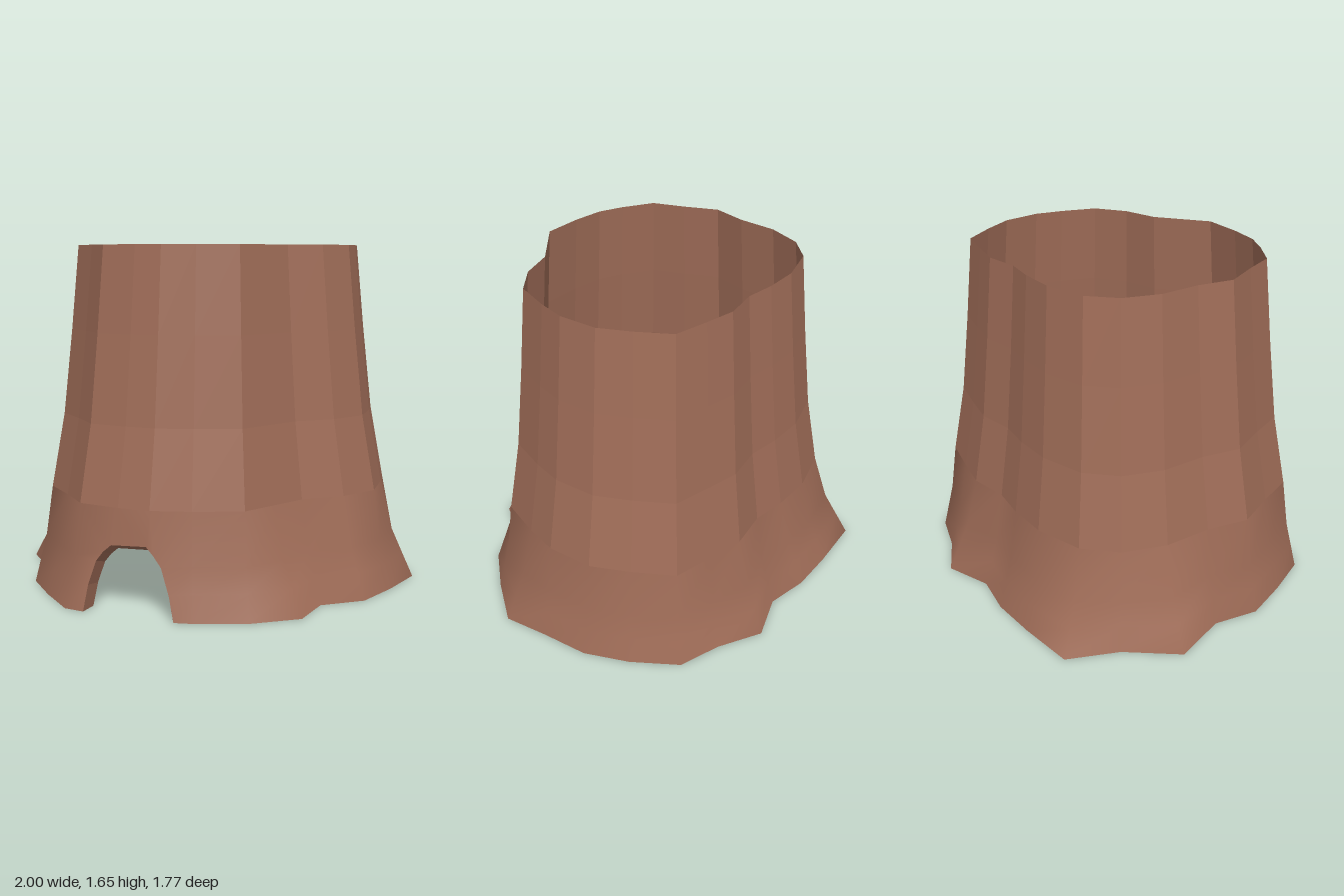
import * as THREE from 'three';
import { mergeVertices } from 'three/addons/utils/BufferGeometryUtils.js';

// Matching columns of the wavy cross-section, [x, z] from +x towards +z
const RIM = [
  [0.685, -0.01], [0.66, 0.17], [0.545, 0.3], [0.39, 0.385], [0.295, 0.5],
  [0.2, 0.615], [0.01, 0.65], [-0.145, 0.66], [-0.27, 0.63], [-0.43, 0.57],
  [-0.52, 0.43], [-0.625, 0.285], [-0.625, 0.11], [-0.66, -0.08], [-0.635, -0.26],
  [-0.545, -0.395], [-0.365, -0.49], [-0.2, -0.525], [-0.055, -0.535], [0.1, -0.595],
  [0.25, -0.595], [0.42, -0.59], [0.54, -0.46], [0.64, -0.33], [0.69, -0.15],
];
const FOOT = [
  [1, 0], [0.89, 0.235], [0.77, 0.44], [0.57, 0.54], [0.5, 0.745],
  [0.28, 0.845], [0.03, 0.885], [-0.19, 0.885], [-0.36, 0.84], [-0.585, 0.76],
  [-0.725, 0.57], [-0.85, 0.37], [-0.855, 0.145], [-1, -0.1], [-0.865, -0.36],
  [-0.81, -0.62], [-0.535, -0.705], [-0.31, -0.76], [-0.095, -0.765], [0.11, -0.89],
  [0.335, -0.82], [0.55, -0.795], [0.725, -0.62], [0.855, -0.435], [0.925, -0.21],
];
const N = RIM.length;
const BASE_ROWS = [0, 0.12, 0.24, 0.48];
const FLARE = [1, 0.68, 0.36, 0];
const TRUNK_ROWS = [0.48, 0.84, 1.25, 1.65];
const SPREAD = [1.215, 1.12, 1.055, 1];

// Piecewise-linear lookup
function lookup(xs, ys, x) {
  let k = 0;
  while (k < xs.length - 2 && x > xs[k + 1]) k++;
  return THREE.MathUtils.lerp(ys[k], ys[k + 1], (x - xs[k]) / (xs[k + 1] - xs[k]));
}

// Point of column i at height y
function surface(i, y) {
  const [rx, rz] = RIM[i % N], [fx, fz] = FOOT[i % N];
  const s = y >= 0.48 ? lookup(TRUNK_ROWS, SPREAD, y) : SPREAD[0];
  const f = y >= 0.48 ? 0 : lookup(BASE_ROWS, FLARE, y);
  const { lerp } = THREE.MathUtils;
  return [lerp(rx * s, fx, f), y, lerp(rz * s, fz, f)];
}

// Point on the front of the base at a given x and y
function frontPoint(x, y) {
  for (let i = 6; i < 9; i++) {
    const a = surface(i, y), b = surface(i + 1, y);
    if (x >= b[0] || i === 8) {
      return [x, y, THREE.MathUtils.lerp(a[2], b[2], (x - a[0]) / (b[0] - a[0]))];
    }
  }
}

function addQuad(out, a, b, c, d) {
  out.push(...a, ...b, ...c, ...a, ...c, ...d);
}

function addGrid(out, from, to, rows) {
  for (let i = from; i < to; i++) {
    for (let r = 0; r < rows.length - 1; r++) {
      addQuad(out, surface(i + 1, rows[r]), surface(i, rows[r]),
        surface(i, rows[r + 1]), surface(i + 1, rows[r + 1]));
    }
  }
}

function toGeometry(points, smooth) {
  let g = new THREE.BufferGeometry();
  g.setAttribute('position', new THREE.Float32BufferAttribute(points, 3));
  if (smooth) g = mergeVertices(g, 1e-4);
  g.computeVertexNormals();
  return g;
}

export function createModel() {
  const group = new THREE.Group();
  group.name = 'hollowStump';
  const bark = new THREE.MeshStandardMaterial({ color: 0xa06d58, side: THREE.DoubleSide });
  bark.name = 'barkBrown';
  const add = (name, points, smooth) => {
    const mesh = new THREE.Mesh(toGeometry(points, smooth), bark);
    mesh.name = name;
    group.add(mesh);
  };

  // Faceted upper trunk, open at the top
  const trunk = [];
  addGrid(trunk, 0, N, TRUNK_ROWS);
  add('trunk', trunk, false);

  // Arched doorway outline, left to right, and the base points around it
  const arch = [
    [-0.49, 0], [-0.47, 0.12], [-0.435, 0.23], [-0.4, 0.275], [-0.36, 0.31],
    [-0.19, 0.32], [-0.155, 0.28], [-0.12, 0.23], [-0.08, 0.11], [-0.055, 0],
  ].map(([x, y]) => frontPoint(x, y));
  const around = [
    [9, 0], [9, 0.12], [9, 0.24], [9, 0.48], [8, 0.48],
    [7, 0.48], [6, 0.48], [6, 0.24], [6, 0.12], [6, 0],
  ].map(([i, y]) => surface(i, y));

  // Smooth flared base with the doorway left open
  const base = [];
  addGrid(base, 9, N + 6, BASE_ROWS);
  for (let k = 0; k < arch.length - 1; k++) {
    addQuad(base, around[k], arch[k], arch[k + 1], around[k + 1]);
  }
  add('flaredBase', base, true);

  // Doorway reveal tapering inwards
  const inner = arch.map(([x, y, z]) => [-0.265 + (x + 0.265) * 0.89, y * 0.88, z - 0.09]);
  const reveal = [];
  for (let k = 0; k < arch.length - 1; k++) {
    addQuad(reveal, arch[k], inner[k], inner[k + 1], arch[k + 1]);
  }
  add('doorwayReveal', reveal, false);

  return group;
}
